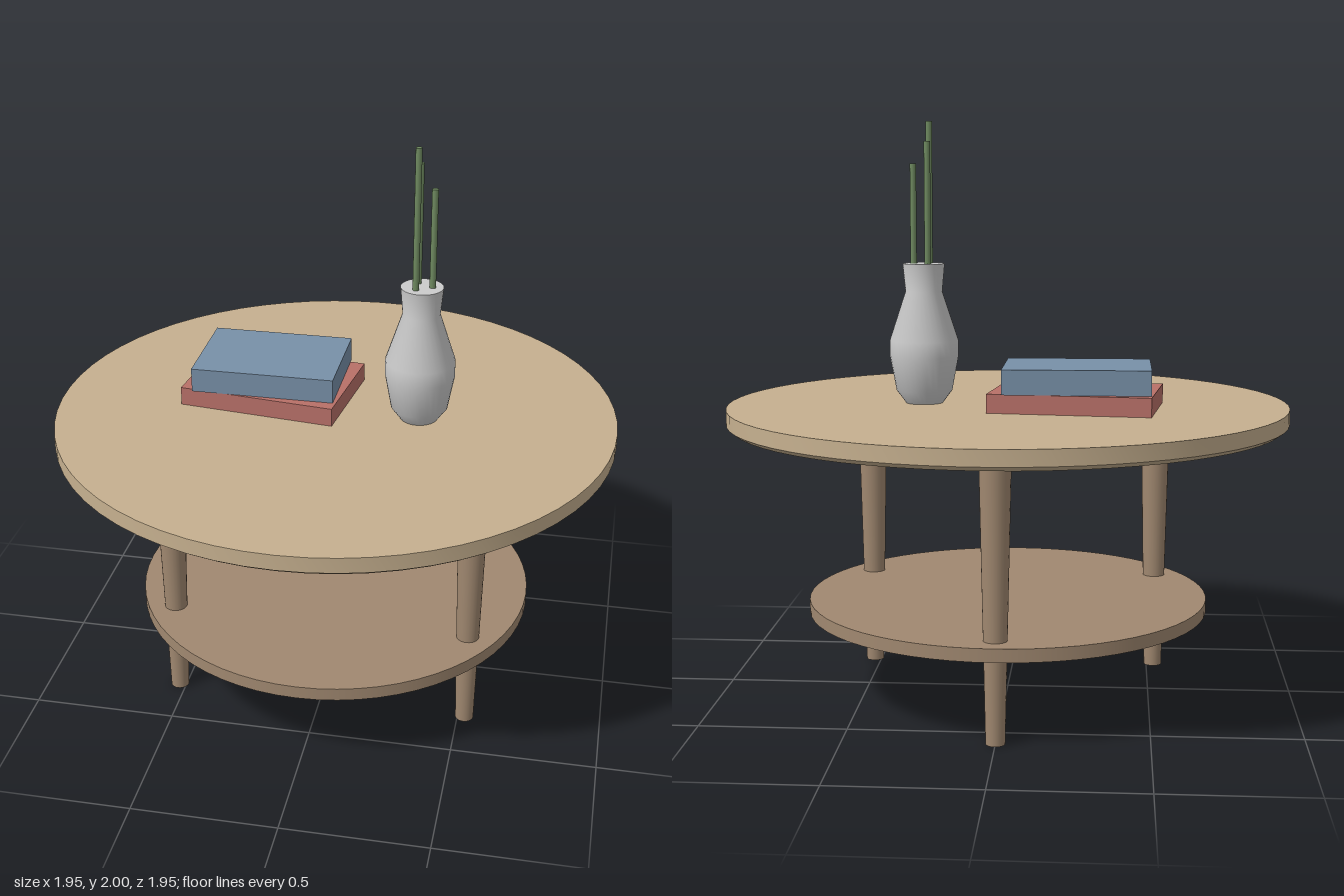
import * as THREE from 'three';
import { toCreasedNormals } from 'three/addons/utils/BufferGeometryUtils.js';

const mat = (color) => new THREE.MeshStandardMaterial({ color });

function addMesh(parent, name, geometry, material, x = 0, y = 0, z = 0) {
  const mesh = new THREE.Mesh(geometry, material);
  mesh.name = name;
  mesh.position.set(x, y, z);
  parent.add(mesh);
  return mesh;
}

// Closed turned shape from [radius, height] pairs, bottom to top
function turned(profile, segments) {
  const points = profile.map(([r, y]) => new THREE.Vector2(r, y));
  return toCreasedNormals(new THREE.LatheGeometry(points, segments), 0.7);
}

export function createModel() {
  const table = new THREE.Group();
  table.name = 'sideTable';
  const lightWood = mat(0xc6b08f);
  const darkWood = mat(0xa08870);
  const green = mat(0x6f8a60);

  // Round top with a small chamfer under the rim
  addMesh(table, 'tabletop', turned(
    [[0, 0.957], [0.955, 0.957], [0.975, 0.972], [0.975, 1.025], [0, 1.025]], 64), lightWood);

  // Lower shelf
  addMesh(table, 'shelf', new THREE.CylinderGeometry(0.7, 0.7, 0.045, 64), darkWood, 0, 0.321, 0);

  // Three tapered legs, one at the back and two at the front
  for (let i = 0; i < 3; i++) {
    const a = Math.PI + (i * Math.PI * 2) / 3;
    addMesh(table, 'leg', new THREE.CylinderGeometry(0.053, 0.032, 0.96, 24), darkWood,
      Math.sin(a) * 0.605, 0.48, Math.cos(a) * 0.605);
  }

  // Two stacked books, the lower one turned slightly
  const lower = addMesh(table, 'lowerBook', new THREE.BoxGeometry(0.555, 0.065, 0.385), mat(0xb87068),
    -0.243, 1.0575, -0.098);
  lower.rotation.y = -0.122;
  addMesh(table, 'upperBook', new THREE.BoxGeometry(0.5, 0.085, 0.36), mat(0x7890a8),
    -0.246, 1.1325, -0.1);

  // Vase with a closed top
  const vase = new THREE.Group();
  vase.name = 'vaseWithStems';
  vase.position.set(0.293, 1.025, 0);
  table.add(vase);
  addMesh(vase, 'vase', turned(
    [[0, 0], [0.065, 0], [0.098, 0.045], [0.12, 0.165], [0.12, 0.22], [0.064, 0.39], [0.073, 0.487], [0, 0.487]],
    32), mat(0xdededa));

  // Upright stems of differing length
  [0.83, 0.975, 0.905].forEach((top, i) => {
    const a = (i * Math.PI * 2) / 3;
    const length = top - 0.4;
    addMesh(vase, 'stem', new THREE.CylinderGeometry(0.011, 0.011, length, 12), green,
      Math.cos(a) * 0.035, top - length / 2, Math.sin(a) * 0.035);
  });

  return table;
}
